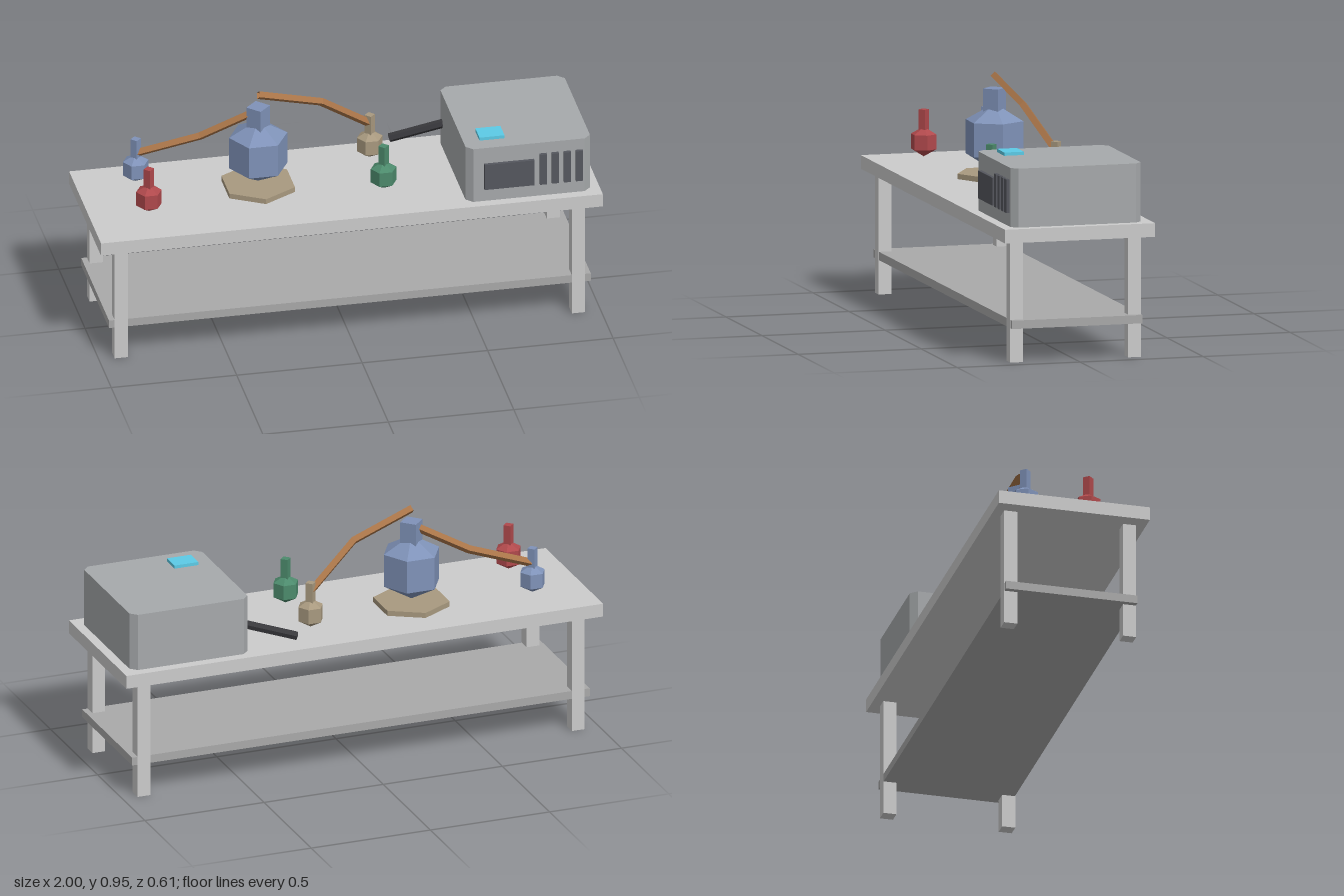
import * as THREE from 'three';

const mat = (color) => new THREE.MeshStandardMaterial({ color, flatShading: true });
const grey = mat(0xcccccc), shelfGrey = mat(0xa9a9a9), steel = mat(0xa6a9ab), dark = mat(0x55575e),
  black = mat(0x38383c), blue = mat(0x7f92b8), red = mat(0xb0494c), green = mat(0x4c8a6c),
  tan = mat(0xa8997f), brown = mat(0xa87448), cyan = mat(0x5ccbe6);

function add(parent, name, geometry, material, x = 0, y = 0, z = 0) {
  const mesh = new THREE.Mesh(geometry, material);
  mesh.name = name;
  mesh.position.set(x, y, z);
  parent.add(mesh);
  return mesh;
}

const box = (w, h, d) => new THREE.BoxGeometry(w, h, d);

// Faceted round body with a straight neck
function flask(parent, name, material, x, y, z, r, neckR, neckBottom, neckTop, neckSides) {
  const g = new THREE.Group();
  g.name = name;
  g.position.set(x, y, z);
  add(g, 'flaskBody', new THREE.SphereGeometry(r, 6, 3), material);
  add(g, 'flaskNeck', new THREE.CylinderGeometry(neckR, neckR, neckTop - neckBottom, neckSides),
    material, 0, (neckTop + neckBottom) / 2 - y, 0);
  parent.add(g);
}

// Two-segment angular hose, closed at both ends
function hose(parent, name, points) {
  const path = new THREE.CurvePath();
  const p = points.map((a) => new THREE.Vector3(...a));
  for (let i = 1; i < p.length; i++) path.add(new THREE.LineCurve3(p[i - 1], p[i]));
  const curve = new THREE.CatmullRomCurve3(p);
  const m = brown.clone();
  m.side = THREE.DoubleSide;
  add(parent, name, new THREE.TubeGeometry(curve, 2, 0.017, 4), m);
}

export function createModel() {
  const model = new THREE.Group();
  model.name = 'laboratoryBench';

  // Table
  const table = new THREE.Group();
  table.name = 'table';
  model.add(table);
  add(table, 'tableTop', box(2, 0.054, 0.61), grey, 0, 0.508, 0);
  add(table, 'shelf', box(1.92, 0.033, 0.53), shelfGrey, 0, 0.152, 0);
  for (const sx of [-1, 1])
    for (const sz of [-1, 1]) add(table, 'leg', box(0.053, 0.482, 0.053), grey, sx * 0.911, 0.241, sz * 0.24);

  // Machine housing with chamfered upright corners
  const machine = new THREE.Group();
  machine.name = 'machine';
  machine.position.set(0.714, 0.535, 0);
  model.add(machine);
  const w = 0.248, d = 0.265, c = 0.026;
  const outline = new THREE.Shape([
    [-w + c, -d], [w - c, -d], [w, -d + c], [w, d - c],
    [w - c, d], [-w + c, d], [-w, d - c], [-w, -d + c],
  ].map(([x, y]) => new THREE.Vector2(x, y)));
  const housing = new THREE.ExtrudeGeometry(outline, { depth: 0.233, bevelEnabled: false });
  housing.rotateX(-Math.PI / 2);
  add(machine, 'housing', housing, steel);
  add(machine, 'button', box(0.1, 0.014, 0.08), cyan, -0.134, 0.239, 0.16);

  // Front window and vents
  add(machine, 'window', box(0.198, 0.11, 0.016), dark, -0.08, 0.11, 0.271);
  for (let i = 0; i < 4; i++)
    add(machine, 'vent', box(0.028, 0.132, 0.016), dark, 0.055 + i * 0.048, 0.12, 0.271);

  // Handle sticking out of the side
  const a = new THREE.Vector3(0.265, 0.573, -0.253), b = new THREE.Vector3(0.5, 0.647, -0.203);
  const handle = add(model, 'handle', new THREE.CylinderGeometry(0.018, 0.018, a.distanceTo(b), 6), black);
  handle.position.copy(a).add(b).multiplyScalar(0.5);
  handle.quaternion.setFromUnitVectors(new THREE.Vector3(0, 1, 0), b.clone().sub(a).normalize());

  // Large flask on a hexagonal stand
  add(model, 'stand', new THREE.CylinderGeometry(0.151, 0.151, 0.022, 6), tan, -0.303, 0.545, -0.034);
  flask(model, 'largeFlask', blue, -0.303, 0.694, -0.034, 0.134, 0.047, 0.77, 0.888, 4);

  // Small flasks
  const small = [
    ['redFlask', red, -0.77, 0.117], ['blueFlask', blue, -0.77, -0.137],
    ['greenFlask', green, 0.165, 0.117], ['tanFlask', tan, 0.165, -0.147],
  ];
  for (const [name, m, x, z] of small) flask(model, name, m, x, 0.615, z, 0.059, 0.021, 0.64, 0.742, 4);

  // Hoses between flasks
  hose(model, 'leftHose', [[-0.765, 0.68, -0.137], [-0.56, 0.738, -0.095], [-0.3, 0.872, -0.035]]);
  hose(model, 'rightHose', [[-0.303, 0.938, -0.034], [-0.07, 0.873, -0.068], [0.168, 0.702, -0.148]]);

  return model;
}
